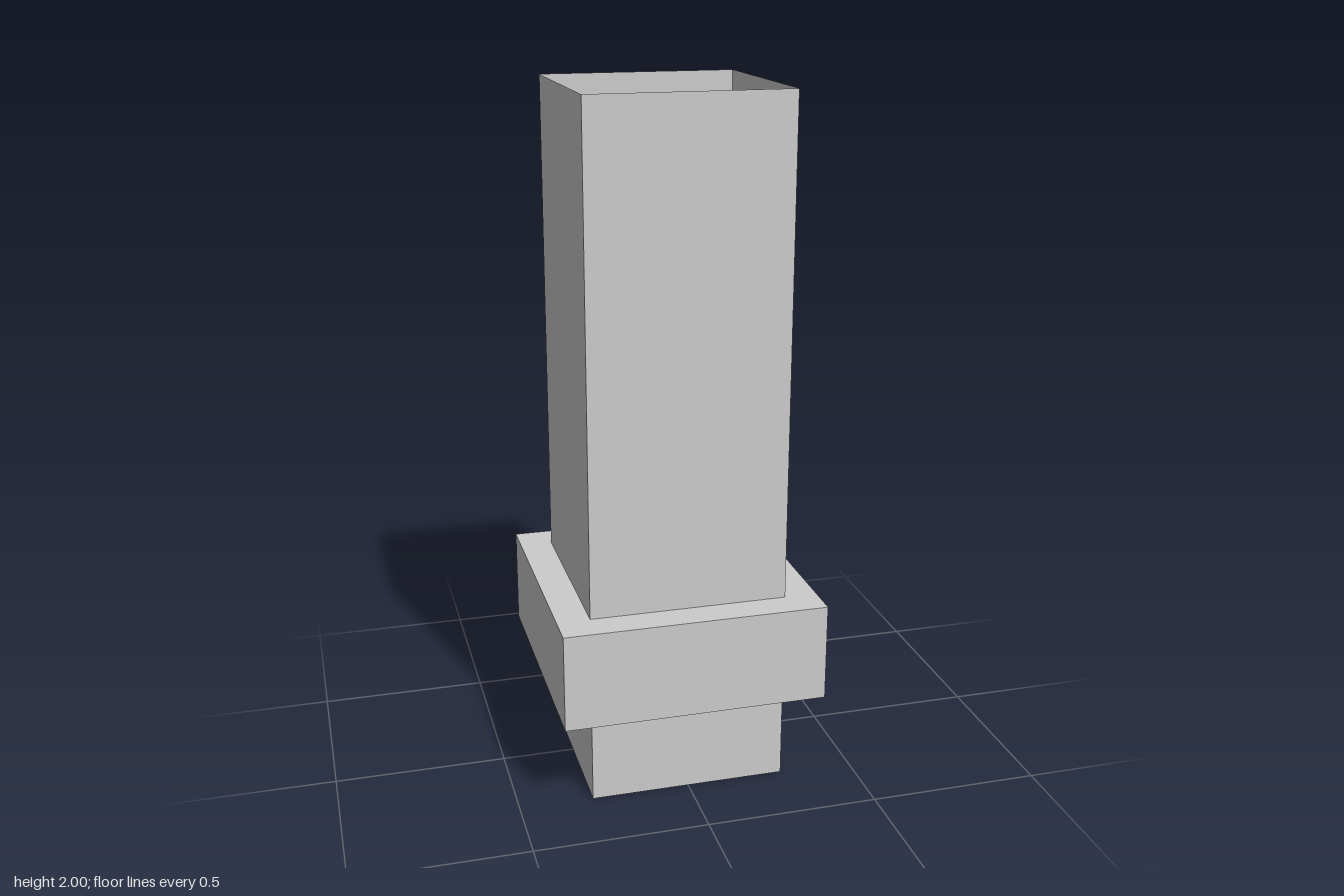
import * as THREE from 'three';

const SHAFT = 0.286;   // half width of the square tube
const COLLAR = 0.381;  // half width of the collar

// Square section swept around y from [half width, height] pairs
function squareLathe(name, profile, material) {
  const points = profile.map(([half, y]) => new THREE.Vector2(half * Math.SQRT2, y));
  const mesh = new THREE.Mesh(new THREE.LatheGeometry(points, 4, Math.PI / 4), material);
  mesh.name = name;
  return mesh;
}

export function createModel() {
  const group = new THREE.Group();
  group.name = 'squareChimney';
  const material = new THREE.MeshStandardMaterial({
    color: 0xcccccc, flatShading: true, side: THREE.DoubleSide,
  });

  // Closed foot
  group.add(squareLathe('foot', [[0, 0], [SHAFT, 0], [SHAFT, 0.286]], material));
  // Protruding collar
  group.add(squareLathe('collar',
    [[SHAFT, 0.286], [COLLAR, 0.286], [COLLAR, 0.571], [SHAFT, 0.571]], material));
  // Thin-walled shaft, open at the top
  group.add(squareLathe('shaft', [[SHAFT, 0.571], [SHAFT, 2]], material));
  return group;
}
